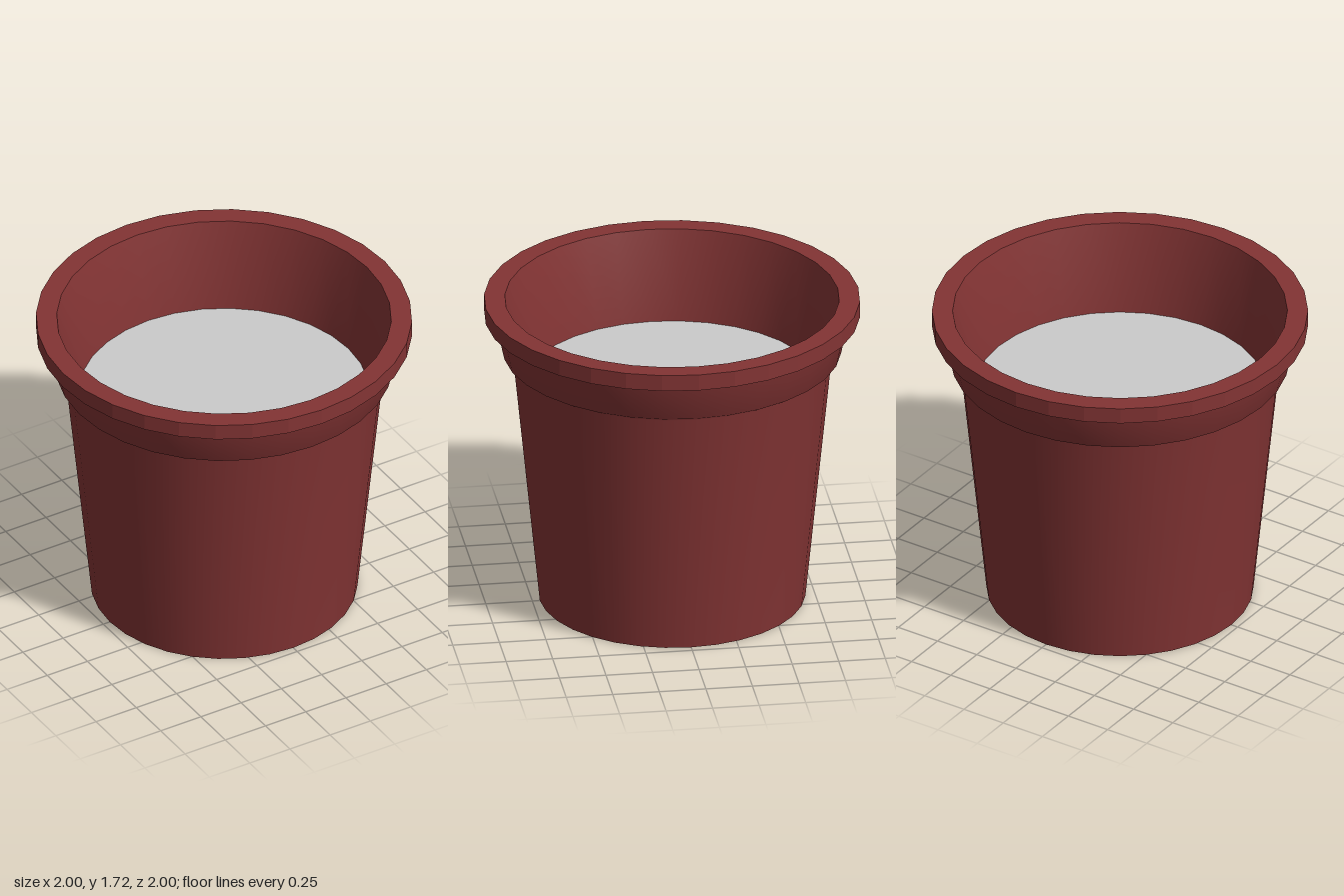
import * as THREE from 'three';
import { toCreasedNormals } from 'three/addons/utils/BufferGeometryUtils.js';

const SEGMENTS = 32;

export function createModel() {
  const pot = new THREE.Group();
  pot.name = 'flowerPot';

  const clay = new THREE.MeshStandardMaterial({ color: 0x833434 });
  const clayFaceted = new THREE.MeshStandardMaterial({ color: 0x833434, flatShading: true });
  const grey = new THREE.MeshStandardMaterial({ color: 0xcccccc });

  const add = (name, geometry, material, y = 0) => {
    const mesh = new THREE.Mesh(geometry, material);
    mesh.name = name;
    mesh.position.y = y;
    pot.add(mesh);
    return mesh;
  };
  // Surface of revolution from [radius, height] pairs
  const lathe = (profile) =>
    new THREE.LatheGeometry(profile.map(([r, y]) => new THREE.Vector2(r, y)), SEGMENTS);

  // Tapered outer wall with the stepped collar
  add('outerWall', lathe([[0.71, 0], [0.85, 1.39], [0.9, 1.42], [0.945, 1.63]]), clay);

  // Flat-banded lip
  add('rim', toCreasedNormals(lathe([[0.945, 1.63], [1, 1.63], [1, 1.72], [0.89, 1.72]]), 0.1), clayFaceted);

  // Inner wall, running down to the inside floor
  add('innerWall', lathe([[0.89, 1.72], [0.772, 1.23], [0.65, 0.06], [0, 0.06]]), clay);

  // Underside
  add('base', new THREE.CircleGeometry(0.71, SEGMENTS).rotateX(Math.PI / 2), clay);

  // Filling surface
  add('soil', new THREE.CircleGeometry(0.775, SEGMENTS).rotateX(-Math.PI / 2), grey, 1.235);

  return pot;
}
